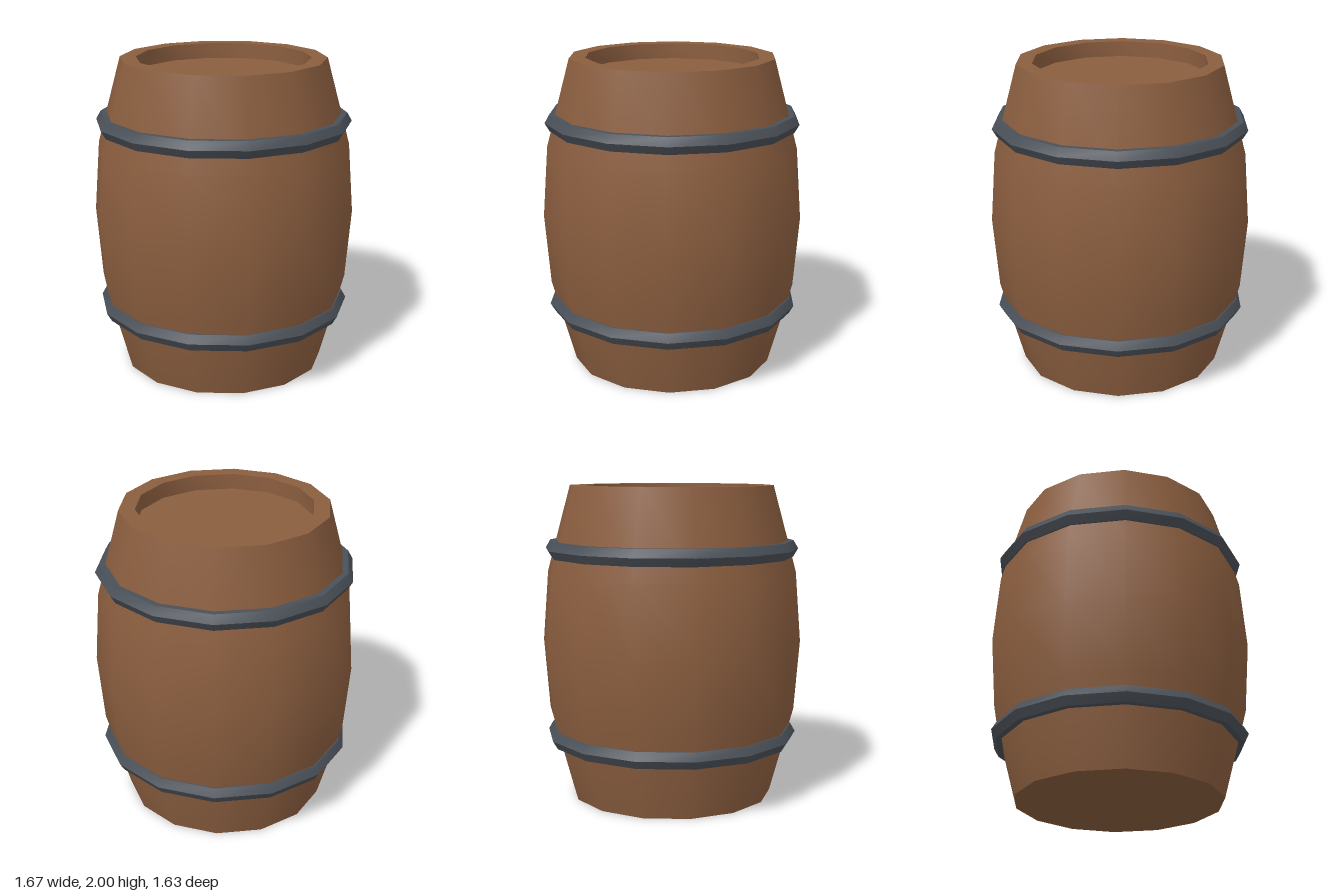
import * as THREE from 'three';
import { toCreasedNormals } from 'three/addons/utils/BufferGeometryUtils.js';

const SIDES = 14;
const CREASE = 0.6;

export function createModel() {
  const wood = new THREE.MeshStandardMaterial({ color: 0x8b5e3f });
  wood.name = 'wood';
  const iron = new THREE.MeshStandardMaterial({ color: 0x4a5058 });
  iron.name = 'dark iron';

  const barrel = new THREE.Group();
  barrel.name = 'barrel';

  // Bulging body with a rim and a recessed lid, as [radius, height]
  const profile = [
    [0, 0], [0.65, 0], [0.8, 0.55], [0.835, 1], [0.8, 1.45],
    [0.65, 2], [0.55, 2], [0.55, 1.9], [0, 1.9],
  ].map(([r, y]) => new THREE.Vector2(r, y));
  const bodyGeometry = new THREE.LatheGeometry(profile, SIDES).rotateY(Math.PI / 2);
  const body = new THREE.Mesh(toCreasedNormals(bodyGeometry, CREASE), wood);
  body.name = 'body';
  barrel.add(body);

  // Two hoops with a six-sided section
  const hoopGeometry = toCreasedNormals(
    new THREE.TorusGeometry(0.752, 0.06, 6, SIDES).rotateX(Math.PI / 2), CREASE);
  for (const [name, y] of [['lowerHoop', 0.4], ['upperHoop', 1.6]]) {
    const hoop = new THREE.Mesh(hoopGeometry, iron);
    hoop.name = name;
    hoop.position.y = y;
    barrel.add(hoop);
  }

  return barrel;
}
